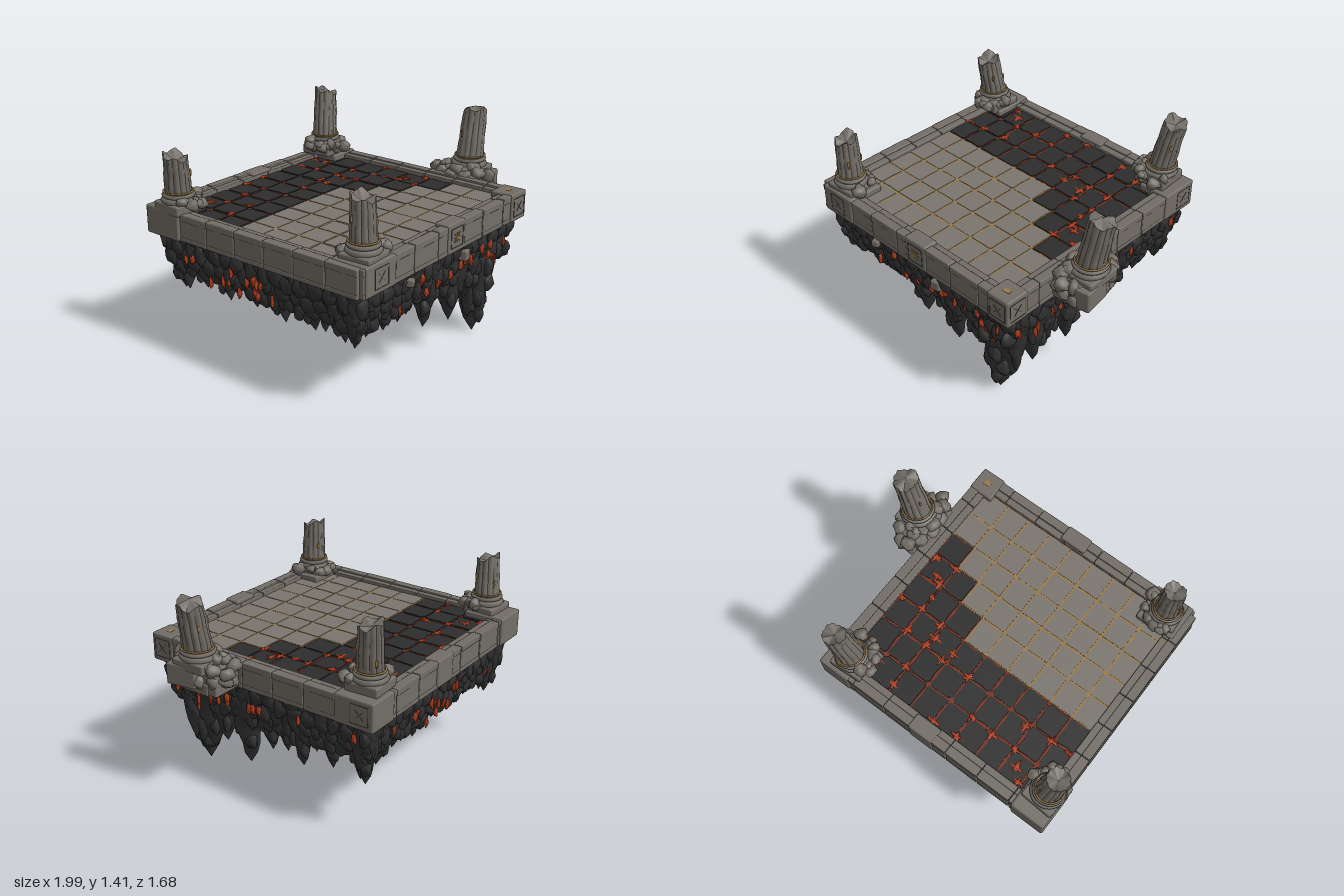
import * as THREE from 'three';
import { mergeGeometries, mergeVertices, toCreasedNormals } from 'three/addons/utils/BufferGeometryUtils.js';
import { RoundedBoxGeometry } from 'three/addons/geometries/RoundedBoxGeometry.js';

let seed = 7;
const rnd = () => { seed = (seed * 16807) % 2147483647; return seed / 2147483647; };
const vary = (a) => (rnd() * 2 - 1) * a;

const material = (name, color) => {
  const m = new THREE.MeshStandardMaterial({ color });
  m.name = name;
  return m;
};

// Drops uvs and indices so that any parts can be merged
const plain = (g) => {
  const p = g.index ? g.toNonIndexed() : g;
  p.deleteAttribute('uv');
  p.clearGroups();
  return p;
};

// Moves each vertex by a rule, then rebuilds smooth normals
const sculpt = (g, rule, crease) => {
  g.deleteAttribute('uv');
  g.deleteAttribute('normal');
  const m = mergeVertices(g, 1e-4), p = m.attributes.position, v = new THREE.Vector3();
  for (let i = 0; i < p.count; i++) {
    rule(v.fromBufferAttribute(p, i));
    p.setXYZ(i, v.x, v.y, v.z);
  }
  m.computeVertexNormals();
  return plain(crease ? toCreasedNormals(m, crease) : m);
};

// Lumpy stone with half sizes a, b, c
const boulder = (x, y, z, a, b, c, ry = 0, amount = 0.14) => {
  const s = rnd() * 50;
  const g = sculpt(new THREE.SphereGeometry(1, 10, 7), (v) => {
    v.multiplyScalar(1 + amount * (Math.sin(v.x * 4 + s) + Math.sin(v.y * 5 + s * 2) * Math.cos(v.z * 4 + s)));
    v.set(v.x * a, v.y * b, v.z * c);
  });
  return g.rotateY(ry).translate(x, y, z);
};

// Block given by its centre and size, with softly worn edges
const block = (x, y, z, w, h, d, ry = 0, worn = 0.012) =>
  plain(new RoundedBoxGeometry(w, h, d, 1, Math.min(worn, w / 3, h / 3, d / 3))).rotateY(ry).translate(x, y, z);

// Hanging rock tooth: wide at the top, tip leaning inward
const tooth = (x, z, top, tipX, tipZ, tip, r) => {
  const s = rnd() * 50, h = top - tip, pts = [];
  for (let i = 0; i <= 8; i++) pts.push(new THREE.Vector2(i ? r * Math.pow(i / 8, 0.62) : 0.001, (i / 8) * h));
  return sculpt(new THREE.LatheGeometry(pts, 11), (v) => {
    const t = v.y / h, a = Math.atan2(v.x, v.z);
    const k = 1 + 0.15 * Math.sin(a * 3 + s + t * 5) + 0.13 * Math.sin(t * 19 + s * 3 + a * 2);
    v.set(v.x * k + tipX + (x - tipX) * t, tip + v.y, v.z * k + tipZ + (z - tipZ) * t);
  });
};

export function createModel() {
  const root = new THREE.Group();
  const stone = material('weatheredStone', 0x726d66);
  const paving = material('pavingStone', 0x7a756e);
  const joint = material('darkJoint', 0x49453f);
  const rock = material('charredRock', 0x313132);
  const slate = material('charredTile', 0x2d2d2e);
  const lava = material('lava', 0xac3a1b);
  const ember = material('ember', 0x75301c);
  const gold = material('goldInlay', 0x9a7945);
  const under = material('underside', 0x7d7269);
  const add = (name, mat, geos, parent = root) => {
    const mesh = new THREE.Mesh(Array.isArray(geos) ? mergeGeometries(geos) : geos, mat);
    mesh.name = name;
    parent.add(mesh);
    return mesh;
  };

  // Solid rock core with a flat underside
  const core = new THREE.BoxGeometry(1.48, 0.2, 1.46).translate(-0.12, 0.7, 0);
  add('rockCore', [rock, rock, rock, under, rock, rock], core);

  // Four rock walls: u runs along the wall, inset goes inward
  const walls = [
    { at: (u, i) => [u, 0.8 - i], ry: 0, from: -0.87, to: 0.64,
      tips: [[-0.82, 0.39], [-0.72, 0.42], [-0.56, 0.4], [-0.42, 0.4], [-0.34, 0.42], [-0.16, 0.27], [0.03, 0.35], [0.12, 0.21], [0.31, 0.3]] },
    { at: (u, i) => [0.7 - i, u], ry: Math.PI / 2, from: -0.74, to: 0.74,
      tips: [[0.48, 0.19], [0.37, 0.27], [0.18, 0.18], [0, 0.33], [-0.12, 0.36], [-0.24, 0.3], [-0.46, 0.36], [-0.69, 0.33]] },
    { at: (u, i) => [u, -0.79 + i], ry: 0, from: -0.87, to: 0.64,
      tips: [[-0.82, 0.38], [-0.6, 0.43], [-0.4, 0.4], [-0.2, 0.43], [0.02, 0.39], [0.25, 0.42], [0.42, 0.38], [0.58, 0.36]] },
    { at: (u, i) => [-0.945 + i, u], ry: Math.PI / 2, from: -0.74, to: 0.74,
      tips: [[-0.7, 0.38], [-0.5, 0.43], [-0.3, 0.4], [-0.08, 0.42], [0.15, 0.39], [0.38, 0.41], [0.6, 0.4]] }];
  const teeth = [], boulders = [], veins = [];
  for (const w of walls) {
    for (const [u, tip] of w.tips) {
      const r = 0.085 + (0.42 - tip) * 0.2, [x, z] = w.at(u, r + 0.005), [tx, tz] = w.at(u, 0.13);
      teeth.push(tooth(x, z, 0.77, tx, tz, tip, r));
      // Scales of rock down the face of the tooth
      for (let k = 0; k < 5; k++) {
        const t = 0.3 + k * 0.14, q = r * Math.pow(t, 0.62);
        const [bx, bz] = w.at(u + (k % 2 ? 1 : -1) * q * 0.6, 0.13 + (r - 0.125) * t - q * 0.65);
        boulders.push(boulder(bx, tip + (0.77 - tip) * t, bz, 0.036, 0.056, 0.027, w.ry));
      }
    }
    for (let u = w.from; u <= w.to; u += 0.075) {
      const [x, z] = w.at(u, 0.075), [tx, tz] = w.at(u + vary(0.02), 0.11);
      teeth.push(tooth(x, z, 0.77, tx, tz, 0.48 + vary(0.05), 0.066));
    }
    [0.71, 0.63, 0.56].forEach((y, row) => {
      for (let u = w.from + row * 0.03; u <= w.to; u += 0.1) {
        const [x, z] = w.at(u + vary(0.02), 0.04 + row * 0.02);
        boulders.push(boulder(x, y + vary(0.02), z, 0.055, 0.068, 0.034, w.ry));
      }
    });
    for (let k = 0; k < 14; k++) {
      const y = 0.5 + rnd() * 0.18, [x, z] = w.at(w.from + rnd() * (w.to - w.from), 0.018 + (0.68 - y) * 0.22);
      veins.push(boulder(x, y, z, 0.014, 0.034, 0.014, w.ry, 0.25));
    }
  }
  // Great hanging spire under the front right corner
  teeth.push(tooth(0.49, 0.6, 0.77, 0.45, 0.64, 0, 0.18), tooth(0.4, 0.62, 0.7, 0.39, 0.64, 0.12, 0.1),
    tooth(0.55, 0.6, 0.7, 0.53, 0.62, 0.14, 0.11), tooth(0.6, 0.66, 0.75, 0.58, 0.63, 0.2, 0.09));
  for (let k = 0; k < 18; k++) {
    const y = 0.14 + k * 0.027, a = k * 2.4, r = 0.035 + (y - 0.1) * 0.22;
    boulders.push(boulder(0.46 + Math.sin(a) * r, y, 0.63 + Math.cos(a) * r, 0.045, 0.065, 0.04, a));
  }
  add('rockTeeth', rock, teeth);
  add('rockBoulders', rock, boulders);
  add('lavaVeins', lava, veins);
  add('embeddedStones', stone, [block(0.08, 0.7, 0.79, 0.065, 0.07, 0.07, 0.2), block(-0.48, 0.71, 0.79, 0.05, 0.05, 0.07, 0.4)]);

  // Floor: stone paving with gold joints, charred paving over embers
  const xs = [-0.87, -0.72, -0.56, -0.4, -0.235, -0.07, 0.1, 0.27, 0.435, 0.61];
  const zs = [-0.73, -0.545, -0.365, -0.185, 0, 0.175, 0.35, 0.53, 0.72];
  const firstCharred = [0, 0, 0, 6, 7, 8, 9, 9];
  const tile = (x0, x1, z0, z1, gap, chip, y) => {
    const pts = [], w = x1 - x0 - gap, d = z1 - z0 - gap;
    [[-1, -1], [1, -1], [1, 1], [-1, 1]].forEach(([sx, sz], i) => {
      const c1 = chip * (0.2 + rnd()), c2 = chip * (0.2 + rnd());
      const a = [sx * (w / 2 - c1), sz * d / 2], b = [sx * w / 2, sz * (d / 2 - c2)];
      (i % 2 ? [a, b] : [b, a]).forEach((p) => pts.push(new THREE.Vector2(p[0], p[1])));
      const n = chip * 0.4 * rnd(); // worn notch along each edge
      pts.push([new THREE.Vector2(vary(0.03), -d / 2 + n), new THREE.Vector2(w / 2 - n, vary(0.03)),
        new THREE.Vector2(vary(0.03), d / 2 - n), new THREE.Vector2(-w / 2 + n, vary(0.03))][i]);
    });
    const g = plain(new THREE.ExtrudeGeometry(new THREE.Shape(pts), { depth: 0.03, bevelEnabled: false }));
    return g.rotateX(-Math.PI / 2).translate((x0 + x1) / 2, y - 0.03, (z0 + z1) / 2);
  };
  const pale = [], charred = [], emberBed = [], goldBed = [];
  firstCharred.forEach((first, r) => {
    for (let c = 0; c < 9; c++) {
      const cell = [xs[c], xs[c + 1], zs[r], zs[r + 1]], dark = c >= first;
      (dark ? charred : pale).push(dark ? tile(...cell, 0.009, 0.022, 0.915 + vary(0.003)) : tile(...cell, 0.009, 0.011, 0.915 + vary(0.001)));
    }
    const strip = (a, b, y) => plain(new THREE.BoxGeometry(b - a, 0.03, zs[r + 1] - zs[r])).translate((a + b) / 2, y, (zs[r] + zs[r + 1]) / 2);
    if (first < 9) emberBed.push(strip(xs[first], 0.61, 0.893));
    if (first > 0) goldBed.push(strip(-0.87, xs[first], 0.8975));
  });
  add('pavingTiles', paving, pale);
  add('charredTiles', slate, charred);
  add('emberBed', ember, emberBed);
  add('goldJoints', gold, goldBed);
  // Lava welling up where the charred tiles meet
  const spills = [[-0.24, -0.7], [0.43, -0.69], [0.27, -0.67], [-0.53, -0.4], [0.27, -0.35], [0.42, -0.34], [0.28, -0.2], [0.46, 0.02], [0.5, 0.05],
    [0.44, -0.6], [0.13, -0.37], [0.25, -0.28], [0.44, -0.18], [0.28, -0.54], [0.1, -0.3], [-0.64, -0.63], [-0.57, -0.55], [-0.4, -0.56], [-0.07, -0.71],
    [-0.24, -0.55], [0.6, -0.19], [0.59, 0.15], [0.44, 0.16], [-0.71, -0.38], [-0.86, -0.38], [-0.7, -0.7], [-0.07, -0.36], [0.44, -0.08]];
  const pools = spills.flatMap(([x, z]) => [[0.038, 0.009, 0], [0.009, 0.038, 0], [0.026, 0.012, rnd() * 3]].map(([a, c, ry]) =>
    boulder(x + vary(0.006), 0.916, z + vary(0.006), a * (0.7 + rnd() * 0.5), 0.004, c, ry, 0.2)));
  add('lavaPools', lava, pools);

  // Rim: dark core beams dressed with worn stone blocks and a raised outer lip
  const beams = [[-0.12, 0.775, 1.64, 0.09], [-0.13, -0.775, 1.66, 0.09], [0.66, 0, 0.09, 1.6], [-0.913, 0, 0.08, 1.6]];
  const coreBeams = [], blocks = [];
  for (const [x, z, w, d] of beams) {
    coreBeams.push(block(x, 0.85, z, w - 0.006, 0.15, d - 0.006));
    const alongX = w > d, len = Math.max(w, d), n = 7, sx = Math.sign(x), sz = Math.sign(z);
    for (let i = 0; i < n; i++) {
      const o = ((i + 0.5) / n - 0.5) * len, l = len / n - 0.003, t = 0.094 + rnd() * 0.006;
      const put = (y, h, thick, out) => blocks.push(alongX
        ? block(x + o, y, z + sz * out, l, h, thick, 0, 0.006) : block(x + sx * out, y, z + o, thick, h, l, 0, 0.006));
      put(0.852, 0.15, t, 0);
      put(0.925 + vary(0.003), 0.042, 0.06, 0.022);
      put(0.785, 0.03, 0.06, 0.022);
      put(0.92, 0.034, 0.046, -0.03);
    }
  }
  add('rimCore', joint, coreBeams);
  add('rimBlocks', stone, blocks);
  add('cornerBlocks', stone, [
    block(-0.79, 0.862, 0.71, 0.27, 0.185, 0.25), block(-0.865, 0.862, -0.7, 0.235, 0.185, 0.28),
    block(0.61, 0.862, -0.7, 0.22, 0.185, 0.27), block(0.635, 0.862, 0.755, 0.165, 0.185, 0.165),
    block(-0.06, 0.865, 0.78, 0.18, 0.19, 0.105), block(-0.06, 0.862, -0.78, 0.18, 0.18, 0.105)]);

  // Carved lines on the block faces, with gold on the middle block and a corner top
  const frames = [], studs = [];
  for (const [x, y, z, ry] of [[-0.06, 0.865, 0.833, 0], [0.635, 0.862, 0.838, 0], [-0.79, 0.862, 0.835, 0],
    [0.718, 0.862, 0.755, Math.PI / 2], [0.72, 0.862, -0.74, Math.PI / 2]]) {
    for (const s of [-1, 1]) {
      frames.push(...[new THREE.BoxGeometry(0.12, 0.004, 0.004).translate(0, s * 0.06, 0), new THREE.BoxGeometry(0.004, 0.12, 0.004).translate(s * 0.06, 0, 0),
        new THREE.BoxGeometry(0.08, 0.004, 0.004).rotateZ(s * Math.PI / 4)].map((g) => plain(g).rotateY(ry).translate(x, y, z)));
    }
  }
  for (const a of [0.25, 0.5, 0.75, 1]) studs.push(plain(new THREE.BoxGeometry(0.06, 0.006, 0.007)).rotateZ(Math.PI * a).translate(-0.06, 0.865, 0.833));
  studs.push(plain(new THREE.BoxGeometry(0.045, 0.006, 0.03)).translate(0.635, 0.953, 0.755));
  add('carvedLines', joint, frames);
  add('goldStuds', gold, studs);

  // Outcrop on the right side that carries a pillar
  const ledge = [block(0.8, 0.865, 0.3, 0.22, 0.18, 0.32), block(0.88, 0.88, 0.38, 0.18, 0.14, 0.2, 0.15), block(0.82, 0.81, 0.31, 0.2, 0.08, 0.22),
    block(0.84, 0.955, 0.31, 0.22, 0.05, 0.23, 0.1)];
  for (let i = 0; i < 22; i++) {
    const a = i * 0.571, r = 0.185 + vary(0.015);
    ledge.push(boulder(0.81 + Math.sin(a) * r * 0.55, (i < 11 ? 0.86 : 0.94) + vary(0.03), 0.3 + Math.cos(a) * r, 0.046, 0.042, 0.046, a));
  }
  add('outcrop', stone, ledge);

  // Broken fluted pillars: foot x, foot z, foot y, top y, lean x, lean z, radius
  const pillars = [
    ['frontLeftPillar', -0.79, 0.71, 0.95, 1.3, -0.01, 0.0, 0.085],
    ['backLeftPillar', -0.875, -0.65, 0.96, 1.29, -0.04, 0.03, 0.088],
    ['backRightPillar', 0.545, -0.695, 0.98, 1.375, 0.065, -0.04, 0.088],
    ['rightPillar', 0.845, 0.315, 0.95, 1.345, 0.075, -0.01, 0.096]];
  for (const [name, x, z, y0, y1, lx, lz, r] of pillars) {
    const g = new THREE.Group(), h = y1 - y0, s = rnd() * 20;
    g.name = name;
    g.position.set(x, y0, z);
    const shaft = sculpt(new THREE.CylinderGeometry(r * 0.84, r, h, 48, 8).translate(0, h / 2, 0), (v) => {
      const a = Math.atan2(v.x, v.z), t = v.y / h, k = 1 - 0.1 * Math.pow(Math.abs(Math.cos(a * 6)), 3) + 0.025 * Math.sin(t * 14 + a * 2 + s);
      const broken = Math.max(0, t - 0.7) / 0.3 * (0.018 * Math.sin(a + s) + 0.014 * Math.sin(a * 4 + s));
      v.set(v.x * k + lx * t, v.y + broken, v.z * k + lz * t);
    }, 0.7);
    add('shaft', stone, shaft, g);
    const ring = (rr, tube, y) => sculpt(new THREE.TorusGeometry(rr, tube, 6, 28).rotateX(Math.PI / 2), () => {}).translate(lx * y / h, y, lz * y / h);
    add('baseMoulding', stone, [ring(r * 1.04, 0.02, 0.045), ring(r * 1.02, 0.013, 0.078), block(0, 0.002, 0, r * 2.5, 0.065, r * 2.5, vary(0.1))], g);
    add('goldRing', gold, ring(r * 1.02, 0.006, 0.1), g);
    const flecks = [0.9, 2.6, 4.4].map((a) => boulder(Math.sin(a) * r * 0.9 + lx * 0.5, h * (0.35 + rnd() * 0.3), Math.cos(a) * r * 0.9 + lz * 0.5, 0.007, 0.026, 0.007));
    add('goldFlecks', gold, flecks, g);
    // Rubble heaped around the foot, toward the middle of the platform
    const heap = [], inward = Math.atan2(-x, -z);
    for (let i = 0; i < 13; i++) {
      const a = inward + vary(1.6), d = r * (1.1 + rnd() * 0.55), q = 0.022 + rnd() * 0.018;
      heap.push(boulder(Math.sin(a) * d, 0.01 + rnd() * 0.05, Math.cos(a) * d, q * 1.2, q, q * 1.1, a));
    }
    add('rubble', stone, heap, g);
    root.add(g);
  }
  return root;
}
